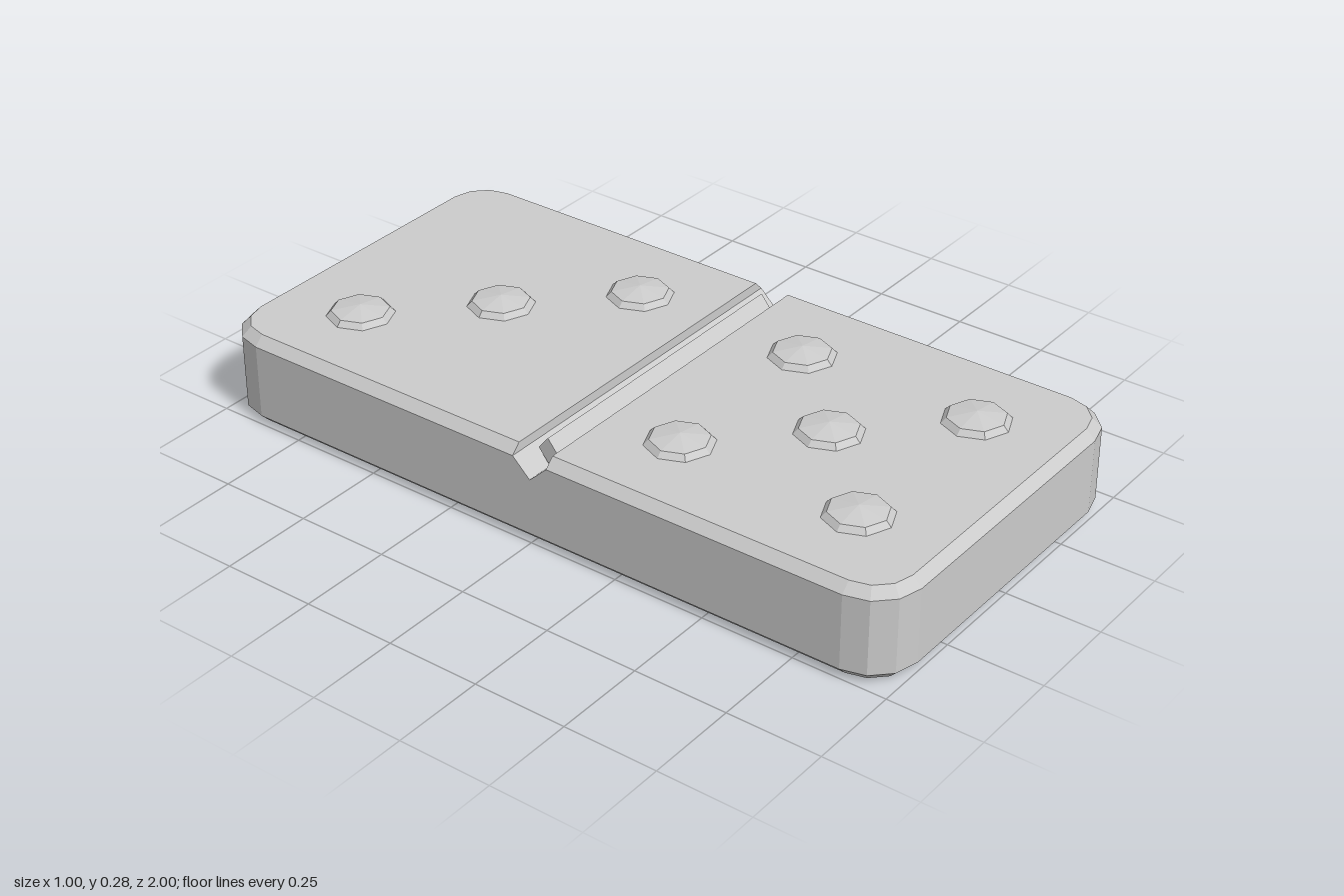
import * as THREE from 'three';

const material = new THREE.MeshStandardMaterial({ color: 0xcccccc, flatShading: true });
const GROOVE = 0.05, GROOVE_BOTTOM = 0.177, BEVEL = 0.025, TOP = 0.25;

// Horizontal outline of the front half, running from +x round the front to -x
function ring(y, inset, zStart) {
  const right = [[0.5 - inset, y, zStart]];
  for (let i = 0; i <= 3; i++) {
    const a = (i * Math.PI) / 6, r = 0.125 - inset;
    right.push([0.375 + r * Math.cos(a), y, 0.875 + r * Math.sin(a)]);
  }
  return [...right, ...right.map(([x, h, z]) => [-x, h, z]).reverse()];
}

// Half of the tile: bevelled shell plus one wall of the V-shaped groove
function halfTileGeometry() {
  const verts = [];
  const face = (...p) => {
    for (let i = 1; i < p.length - 1; i++) verts.push(...p[0], ...p[i], ...p[i + 1]);
  };
  const rings = [
    ring(0, BEVEL, 0),
    ring(BEVEL, 0, 0),
    ring(TOP - BEVEL, 0, GROOVE),
    ring(TOP, BEVEL, GROOVE),
  ];
  for (let k = 0; k < 3; k++) {
    const lo = rings[k], hi = rings[k + 1];
    for (let i = 0; i < lo.length - 1; i++) face(lo[i], hi[i], hi[i + 1], lo[i + 1]);
  }
  face(...rings[0]);
  face(...[...rings[3]].reverse());

  // Side walls below the groove, its slope and its short upright lip
  const [, low, mid, top] = rings, last = low.length - 1;
  const right = [0.5, GROOVE_BOTTOM, 0], left = [-0.5, GROOVE_BOTTOM, 0];
  face(low[0], right, mid[0]);
  face(low[last], mid[last], left);
  face(left, mid[last], mid[0], right);
  face(mid[last], top[last], top[0], mid[0]);

  const g = new THREE.BufferGeometry();
  g.setAttribute('position', new THREE.Float32BufferAttribute(verts, 3));
  g.computeVertexNormals();
  return g;
}

export function createModel() {
  const model = new THREE.Group();
  model.name = 'dominoTile';
  const add = (name, geometry, x = 0, y = 0, z = 0) => {
    const mesh = new THREE.Mesh(geometry, material);
    mesh.name = name;
    mesh.position.set(x, y, z);
    model.add(mesh);
    return mesh;
  };

  // Tile body
  const half = halfTileGeometry();
  add('frontHalf', half);
  add('backHalf', half).rotation.y = Math.PI;

  // Diamond-section bar lying in the groove
  const bar = add('dividerBar', new THREE.CylinderGeometry(1, 1, 0.86, 4), 0, 0.222, 0);
  bar.rotation.z = Math.PI / 2;
  bar.scale.set(0.035, 1, 0.028);

  // Raised eight-sided pips: five in front, three behind
  const pip = new THREE.LatheGeometry(
    [[0.0875, 0], [0.074, 0.0145], [0, 0.027]].map(([r, y]) => new THREE.Vector2(r, y)), 8);
  const spots = [
    [-0.25, 0.25], [0.25, 0.25], [0, 0.5], [-0.25, 0.75], [0.25, 0.75],
    [-0.25, -0.75], [0, -0.5], [0.25, -0.25],
  ];
  for (const [x, z] of spots) add('pip', pip, x, TOP, z);

  return model;
}
